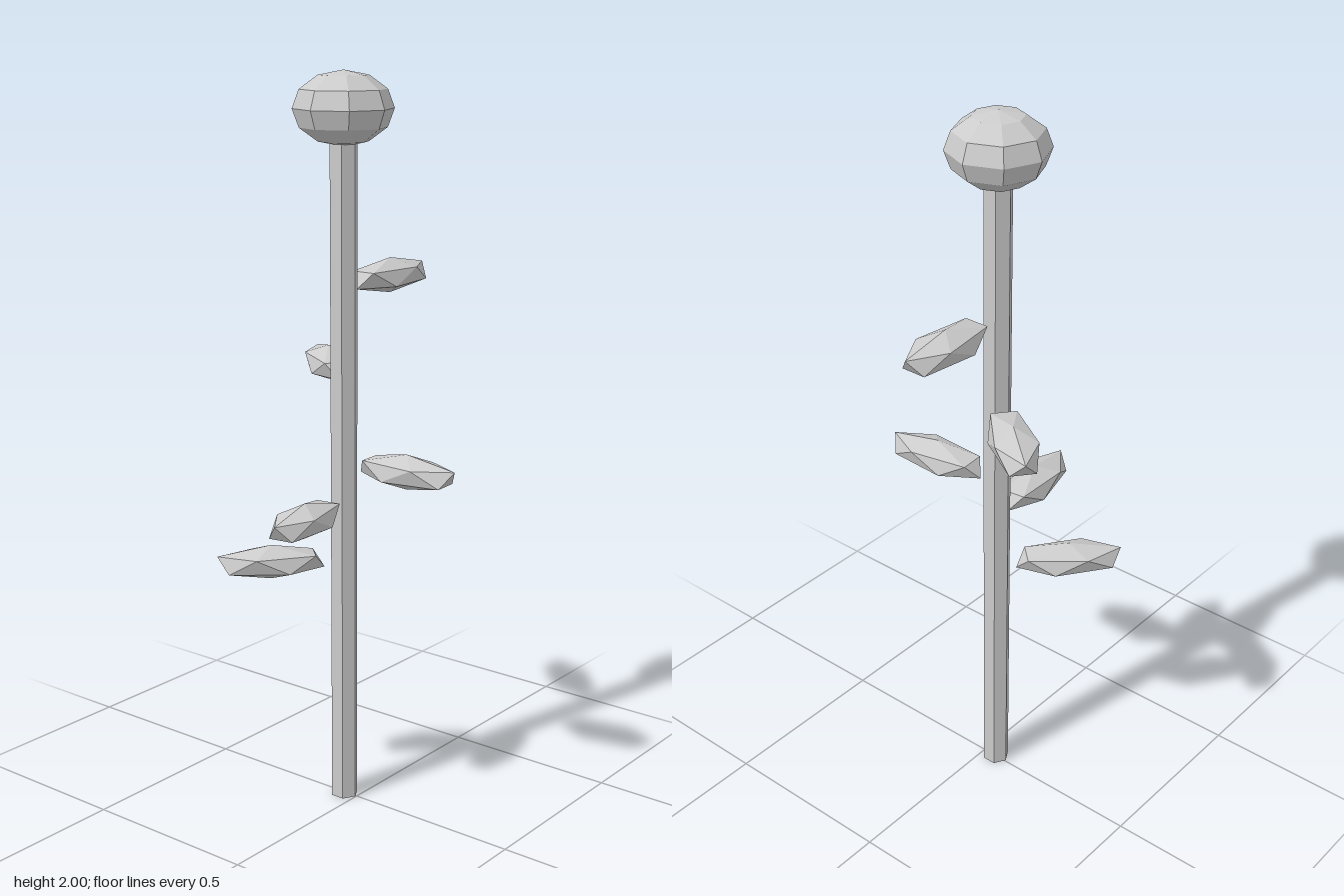
import * as THREE from 'three';

export function createModel() {
  const group = new THREE.Group();
  const material = new THREE.MeshStandardMaterial({ color: 0xcccccc, flatShading: true });
  const axisX = -0.004, axisZ = -0.04;

  const add = (name, geometry, x, y, z) => {
    const mesh = new THREE.Mesh(geometry, material);
    mesh.name = name;
    mesh.position.set(x, y, z);
    group.add(mesh);
    return mesh;
  };

  // Six-sided stem, reaching into the bud
  const stemHeight = 1.85;
  add('stem', new THREE.CylinderGeometry(0.038, 0.038, stemHeight, 6), axisX, stemHeight / 2, axisZ);

  // Flattened round bud on top
  const bud = add('bud', new THREE.SphereGeometry(0.132, 8, 6), axisX, 1.904, axisZ);
  bud.scale.y = 0.096 / 0.132;

  // Leaf: icosahedron stood on one corner, then stretched outward
  const leafGeometry = new THREE.IcosahedronGeometry(1, 0);
  leafGeometry.rotateZ(-Math.atan(2 / (1 + Math.sqrt(5))));
  leafGeometry.scale(0.163, 0.0475, 0.0665);

  // Leaves spiral around the stem: [angle in degrees, height]
  const leaves = [[0, 1.453], [137, 0.70], [274, 0.975], [51, 1.205], [188, 0.86]];
  for (const [degrees, y] of leaves) {
    const a = THREE.MathUtils.degToRad(degrees);
    const leaf = add('leaf', leafGeometry, axisX + 0.2 * Math.cos(a), y, axisZ - 0.2 * Math.sin(a));
    leaf.rotation.y = a;
  }

  return group;
}
